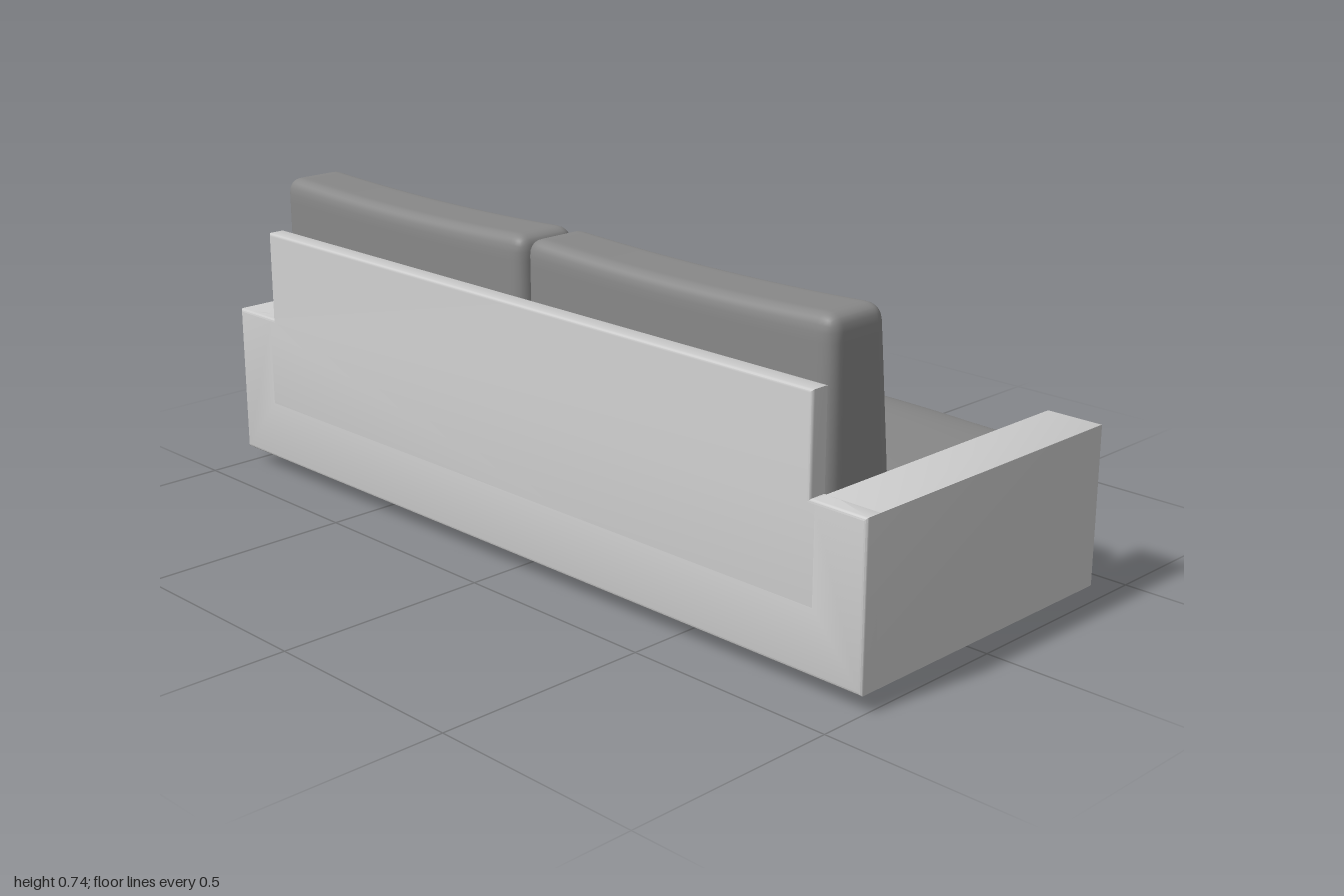
import * as THREE from 'three';
import { mergeVertices, toCreasedNormals } from 'three/addons/utils/BufferGeometryUtils.js';

const frameMaterial = new THREE.MeshStandardMaterial({ color: 0xcccccc });
const footMaterial = new THREE.MeshStandardMaterial({ color: 0xcccccc, flatShading: true });
const cushionMaterial = new THREE.MeshStandardMaterial({ color: 0x888888 });

function addMesh(parent, name, geometry, material) {
  const mesh = new THREE.Mesh(geometry, material);
  mesh.name = name;
  parent.add(mesh);
  return mesh;
}

// Slab with softened edges: a (z, y) outline extruded from x0 to x1
function slab(points, x0, x1) {
  const bevel = 0.007;
  const shape = new THREE.Shape(points.map(([z, y]) => new THREE.Vector2(z, y)));
  const geometry = new THREE.ExtrudeGeometry(shape, {
    depth: x1 - x0 - 2 * bevel,
    bevelThickness: bevel,
    bevelSize: bevel,
    bevelOffset: -bevel,
    bevelSegments: 3,
  });
  geometry.translate(0, 0, x0 + bevel).rotateY(Math.PI / 2);
  return toCreasedNormals(geometry, 0.7);
}

// Rounded block between min and max; deform(p, u, v, w) shapes it,
// with u, v, w running from -1 to 1 along x, y and z
function cushion(min, max, radius, deform) {
  const size = max.clone().sub(min);
  const centre = min.clone().add(max).multiplyScalar(0.5);
  const half = size.clone().multiplyScalar(0.5);
  const core = half.clone().subScalar(radius);
  let geometry = new THREE.BoxGeometry(2, 2, 2, 24, 24, 36);
  geometry.deleteAttribute('normal');
  geometry.deleteAttribute('uv');
  const position = geometry.attributes.position;
  const p = new THREE.Vector3();
  const inner = new THREE.Vector3();
  for (let i = 0; i < position.count; i++) {
    p.fromBufferAttribute(position, i);
    // Crowd the grid lines towards the edges, where the rounding is
    p.set(...p.toArray().map((t) => Math.sin((t * Math.PI) / 2))).multiply(half);
    inner.copy(p).clamp(core.clone().negate(), core);
    p.sub(inner).setLength(radius).add(inner);
    const [u, v, w] = p.clone().divide(half).toArray();
    p.add(centre);
    deform(p, u, v, w);
    position.setXYZ(i, p.x, p.y, p.z);
  }
  geometry = mergeVertices(geometry, 1e-5);
  geometry.computeVertexNormals();
  return geometry;
}

export function createModel() {
  const sofa = new THREE.Group();
  sofa.name = 'sofa';

  // Base and both arms as one U-shaped body
  addMesh(sofa, 'baseAndArms', slab([
    [-1, 0.04], [1, 0.04], [1, 0.4], [0.867, 0.4],
    [0.867, 0.19], [-0.867, 0.19], [-0.867, 0.4], [-1, 0.4],
  ], -0.397, 0.368), frameMaterial);

  // Thin back panel rising between the arms
  addMesh(sofa, 'backPanel', slab([
    [-1, 0.04], [1, 0.04], [1, 0.4], [0.862, 0.4],
    [0.862, 0.615], [-0.862, 0.615], [-0.862, 0.4], [-1, 0.4],
  ], -0.397, -0.35), frameMaterial);

  // Seat cushion with a crowned top
  const seat = cushion(
    new THREE.Vector3(-0.135, 0.18, 0.003),
    new THREE.Vector3(0.395, 0.317, 0.863),
    0.033,
    (p, u, v, w) => {
      const across = 1 - w * w;
      p.y += v > 0 ? 0.034 * v * (1 - u ** 4) * across : -0.008 * v * across;
    },
  );

  // Back cushion, thinner at the top, with a bulging front
  const back = cushion(
    new THREE.Vector3(-0.345, 0.19, 0.003),
    new THREE.Vector3(-0.155, 0.745, 0.861),
    0.036,
    (p, u, v, w) => {
      const front = (u + 1) / 2;
      const across = 1 - w * w;
      p.x += front * (0.03 * across * (1 - v ** 4) - 0.03 * v);
      p.y -= Math.max(v, 0) ** 3 * 0.012 * across;
    },
  );

  for (const [side, sign] of [['left', 1], ['right', -1]]) {
    // The cushions are symmetric along z, so the second pair is shifted
    const shift = sign > 0 ? 0 : -0.866;
    addMesh(sofa, `${side}SeatCushion`, seat, cushionMaterial).position.z = shift;
    addMesh(sofa, `${side}BackCushion`, back, cushionMaterial).position.z = shift + 0.001;
  }

  // Four tapered square feet
  const foot = new THREE.CylinderGeometry(0.066, 0.046, 0.044, 4);
  foot.rotateY(Math.PI / 4);
  for (const x of [-0.243, 0.252]) {
    for (const z of [-0.823, 0.823]) {
      addMesh(sofa, 'foot', foot, footMaterial).position.set(x, 0.022, z);
    }
  }

  return sofa;
}
